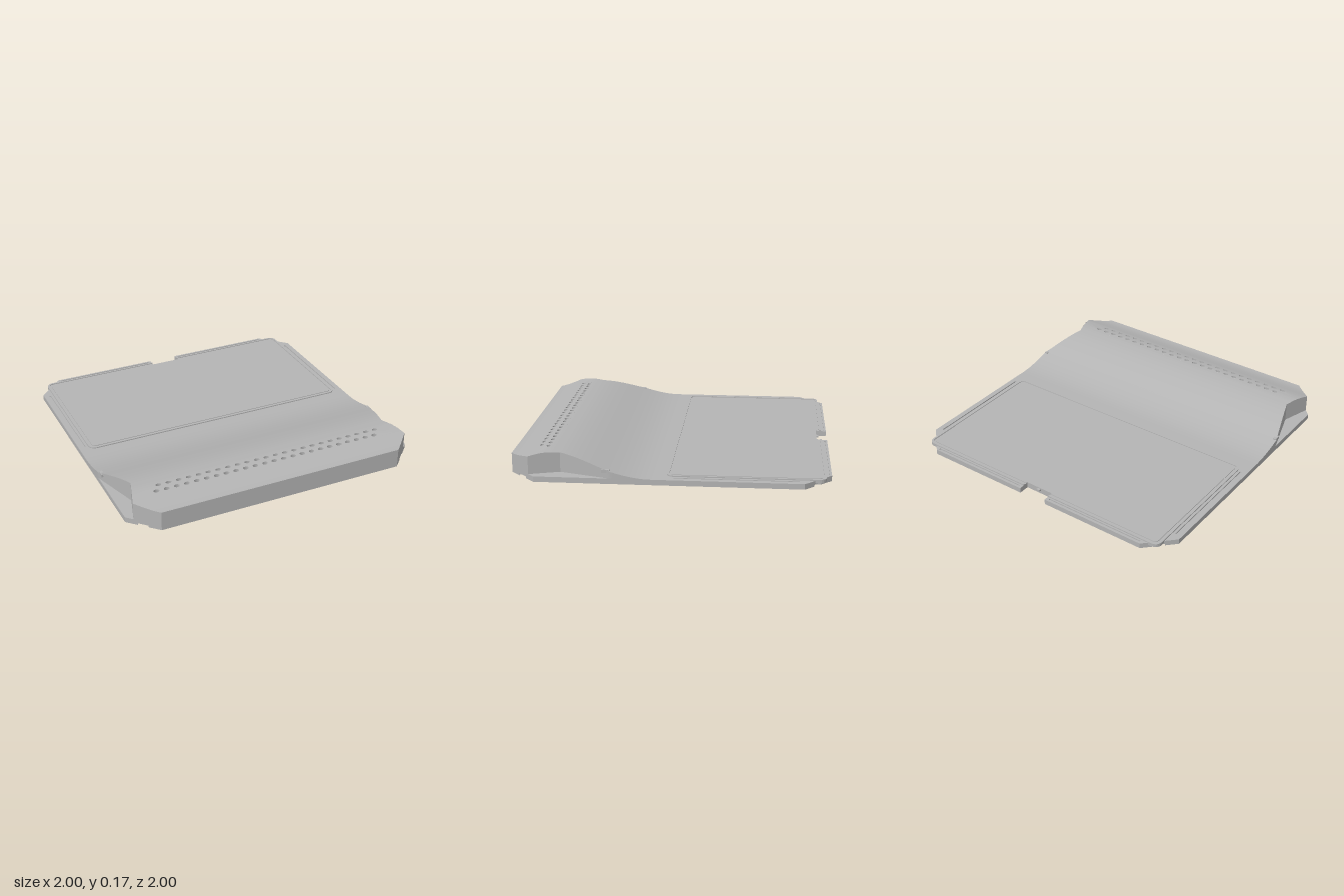
import * as THREE from 'three';
import { toCreasedNormals, mergeVertices } from 'three/addons/utils/BufferGeometryUtils.js';

const grey = new THREE.MeshStandardMaterial({ color: 0xb4b4b4 });
grey.name = 'casing grey';

// Height of the curved top at depth z
function topHeight(z) {
  const ease = (t) => (1 - Math.cos(Math.PI * t)) / 2;
  if (z <= 0.1) return 0.035;
  return z < 0.76 ? 0.035 + 0.132 * ease((z - 0.1) / 0.66) : 0.167 - 0.04 * ease((z - 0.76) / 0.24);
}

// Half width of the raised body at depth z, with the angled side recesses
function halfWidth(z) {
  if (z < 0.36) return 1;
  if (z < 0.68) return 1 - 0.1 * (z - 0.36) / 0.32;
  if (z < 0.87) return 0.9 + 0.06 * (z - 0.68) / 0.19;
  return 1.83 - z;
}

// Upright prism from [x, z] outlines, with holes
function prism(points, y0, y1, holes = []) {
  const toVec = ([x, z]) => new THREE.Vector2(x, -z);
  const outline = points.map(toVec);
  if (THREE.ShapeUtils.area(outline) < 0) outline.reverse();
  const shape = new THREE.Shape(outline);
  shape.holes = holes.map((hole) => new THREE.Path(hole.map(toVec)));
  const geo = new THREE.ExtrudeGeometry(shape, { depth: y1 - y0, bevelEnabled: false });
  return geo.rotateX(-Math.PI / 2).translate(0, y0, 0);
}

// Box sections joined along z
function loft(zs, bottom, drop) {
  const pos = [];
  const index = [];
  zs.forEach((z, i) => {
    const w = halfWidth(z);
    const y = topHeight(z) - drop;
    pos.push(-w, bottom, z, w, bottom, z, w, y, z, -w, y, z);
    if (i === 0) return;
    for (let j = 0; j < 4; j++) {
      const a = (i - 1) * 4 + j;
      const b = (i - 1) * 4 + (j + 1) % 4;
      index.push(a, b, b + 4, a, b + 4, a + 4);
    }
  });
  const n = (zs.length - 1) * 4;
  index.push(0, 2, 1, 0, 3, 2, n, n + 1, n + 2, n, n + 2, n + 3);
  const geo = new THREE.BufferGeometry();
  geo.setAttribute('position', new THREE.Float32BufferAttribute(pos, 3));
  geo.setIndex(index);
  return toCreasedNormals(geo, 0.5);
}

const range = (a, b, n) => Array.from({ length: n + 1 }, (_, i) => a + (b - a) * i / n);
const rect = (x0, x1, z0, z1) => [[x0, z0], [x1, z0], [x1, z1], [x0, z1]];
const mirror = (points) => points.map(([x, z]) => [-x, z]);
const mirrored = (half) => [...half, ...mirror(half).reverse()];
const ellipse = (x, z, rx, rz, n, turn = 0) => range(0, 1, n).slice(0, n).map((t) => {
  const a = t * Math.PI * 2 + turn;
  return [x + rx * Math.cos(a), z + rz * Math.sin(a)];
});

// Right half of the rounded screen outline, from the back notch to the front centre
function screenHalf(inset) {
  const x = 0.935 - inset, back = -0.965 + inset, front = 0.015 - inset;
  const r = 0.045 - inset;
  const corner = (cz, start) => range(start, start + Math.PI / 2, 5)
    .map((a) => [x - r + r * Math.cos(a), cz + r * Math.sin(a)]);
  return [[0.1, back], ...corner(back + r, -Math.PI / 2), ...corner(front - r, 0), [0, front]];
}

export function createModel() {
  const group = new THREE.Group();
  const add = (name, geo) => {
    const mesh = new THREE.Mesh(geo, grey);
    mesh.name = name;
    group.add(mesh);
  };

  // Base slab with chamfered corners and a notch at the back
  const outline = mirrored([[0.1, -0.93], [0.1, -1], [0.83, -1], [1, -0.83], [1, 0.83], [0.83, 1]]);
  add('baseSlab', prism(outline, 0.012, 0.028));
  const sideSlot = rect(0.953, 0.964, -0.8, -0.03);
  const backSlot = rect(0.12, 0.82, -0.986, -0.976);
  add('slottedDeck', prism(outline, 0.028, 0.035,
    [sideSlot, mirror(sideSlot), backSlot, mirror(backSlot)]));

  // Underside plate with staggered hexagonal pockets and seams
  const pockets = [];
  for (let row = 0; row < 12; row++) {
    const z = -0.81 + row * 0.14;
    const count = row % 2 ? 10 : 11;
    for (let i = 0; i < count; i++) {
      pockets.push(ellipse((i - (count - 1) / 2) * 0.16, z, 0.052, 0.052, 6, Math.PI / 6));
    }
    if (row % 2) pockets.push(rect(-0.004, 0.004, z - 0.05, z + 0.05));
  }
  pockets.push(rect(-0.87, 0.87, -0.184, -0.176));
  const underside = mirrored([[0.1, -0.93], [0.1, -1], [0.83, -1], [0.9, -0.93], [0.9, 0.9]]);
  add('undersidePlate', prism(underside, 0, 0.012, pockets));

  // Foot rails outside the underside grooves
  add('frontRail', prism(mirrored([[0.83, 1], [0.89, 0.94]]), 0, 0.012));
  const rail = [[1, 0.83], [0.94, 0.89], [0.94, -0.89], [1, -0.83]];
  add('leftRail', prism(rail, 0, 0.012));
  add('rightRail', prism(mirror(rail), 0, 0.012));

  // Curved raised body, lowered under the vent strip
  const z0 = 0.73, z1 = 0.86, thick = 0.025;
  add('curvedSlope', loft([...range(0.1, 0.36, 10), ...range(0.36, 0.68, 12).slice(1), z0], 0.03, 0));
  add('ventFloor', loft(range(z0, z1, 8), 0.03, thick));
  add('frontEdge', loft([z1, ...range(0.87, 1, 8)], 0.03, 0));

  // Vent strip with two staggered rows of holes, bent to the curve
  const vents = [];
  for (let i = 0; i < 24; i++) {
    const x = -0.754 + i * 0.067;
    vents.push(ellipse(x, 0.772, 0.019, 0.013, 10), ellipse(x - 0.0335, 0.822, 0.019, 0.013, 10));
  }
  const strip = mirrored(range(z0, z1, 8).map((z) => [halfWidth(z), z]));
  const ventGeo = prism(strip, -thick, 0, vents);
  const p = ventGeo.attributes.position;
  for (let i = 0; i < p.count; i++) p.setY(i, p.getY(i) + topHeight(p.getZ(i)));
  ventGeo.deleteAttribute('normal');
  ventGeo.deleteAttribute('uv');
  add('ventStrip', toCreasedNormals(mergeVertices(ventGeo), 0.5));

  // Screen with a raised lip, open at the back notch
  const withNotch = (inset) => mirrored([[0.1, -0.93], ...screenHalf(inset)].slice(0, -1));
  add('screenBed', prism(withNotch(0), 0.02, 0.037));
  add('screenPanel', prism(withNotch(0.026), 0.037, 0.041));
  const lip = [...screenHalf(0), ...screenHalf(0.014).reverse()];
  add('screenLipLeft', prism(lip, 0.037, 0.042));
  add('screenLipRight', prism(mirror(lip), 0.037, 0.042));

  // Small nub in the back notch
  add('notchNub', new THREE.BoxGeometry(0.025, 0.012, 0.016).translate(0, 0.028, -0.936));

  // Small tabs at the tips of the side recesses
  for (const side of [1, -1]) {
    add(side > 0 ? 'leftTab' : 'rightTab',
      new THREE.BoxGeometry(0.02, 0.018, 0.05).translate(side * 0.985, 0.078, 0.385));
  }
  return group;
}
